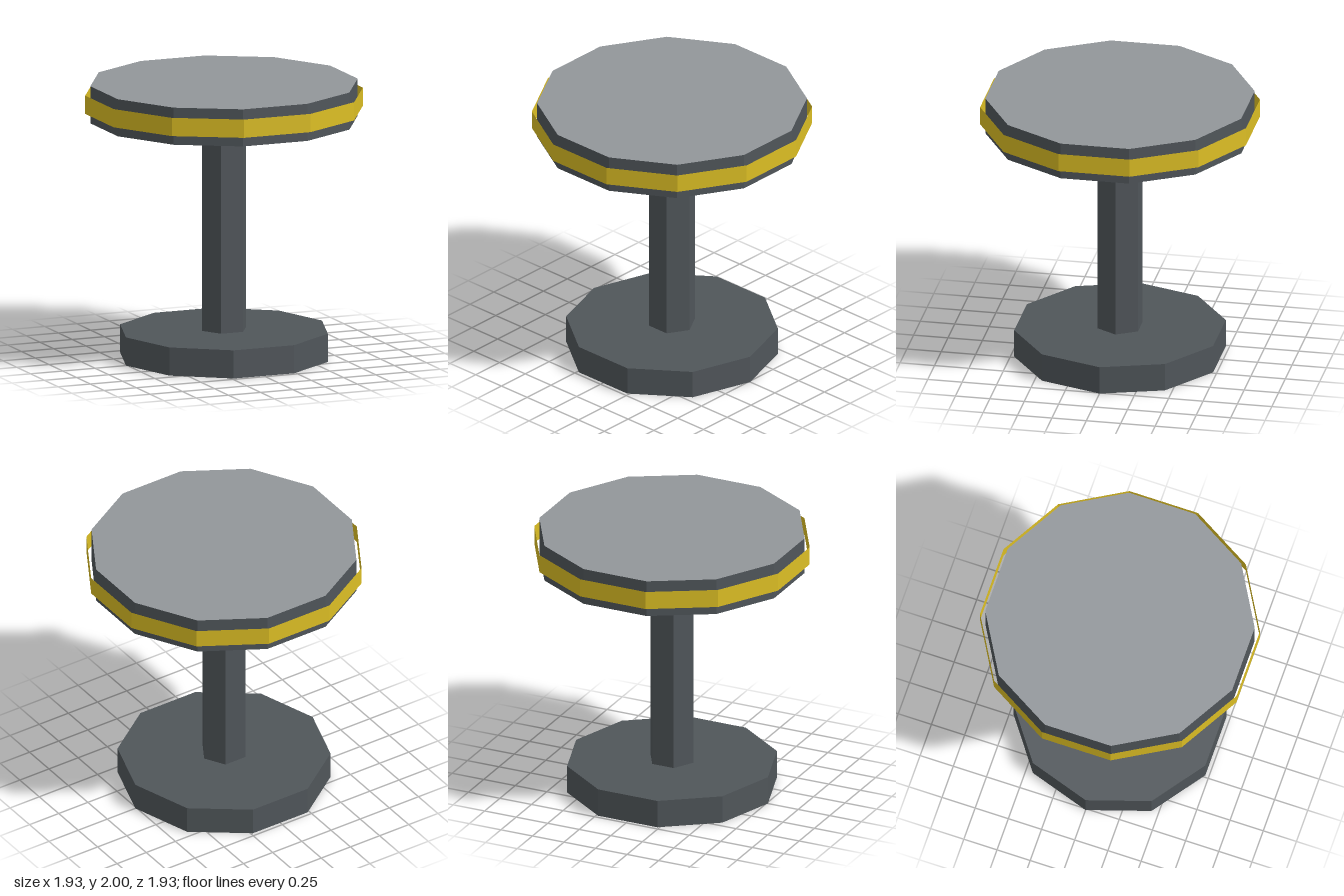
import * as THREE from 'three';

export function createModel() {
  const darkMetal = new THREE.MeshStandardMaterial({ color: 0x50565a, flatShading: true });
  darkMetal.name = 'darkMetal';
  const greyPad = new THREE.MeshStandardMaterial({ color: 0x92969a, flatShading: true });
  greyPad.name = 'greyPad';
  const yellowTrim = new THREE.MeshStandardMaterial({ color: 0xdcbe24, flatShading: true, side: THREE.DoubleSide });
  yellowTrim.name = 'yellowTrim';

  const stool = new THREE.Group();
  stool.name = 'stool';

  // Upright prism turned half a step, so a flat side faces the front
  function prism(name, radius, sides, bottom, top, material, open = false) {
    const geometry = new THREE.CylinderGeometry(
      radius, radius, top - bottom, sides, 1, open, Math.PI / sides);
    const mesh = new THREE.Mesh(geometry, material);
    mesh.name = name;
    mesh.position.y = (bottom + top) / 2;
    stool.add(mesh);
  }

  // Ten-sided foot and six-sided post
  prism('base', 0.76, 10, 0, 0.205, darkMetal);
  prism('post', 0.17, 6, 0.205, 1.73, darkMetal, true);

  // Twelve-sided seat: dark rim, lighter top and underside
  prism('seat', 0.963, 12, 1.73, 2, [darkMetal, greyPad, greyPad]);

  // Open trim band standing just off the rim
  prism('trimBand', 1.0, 12, 1.8, 1.933, yellowTrim, true);

  return stool;
}
